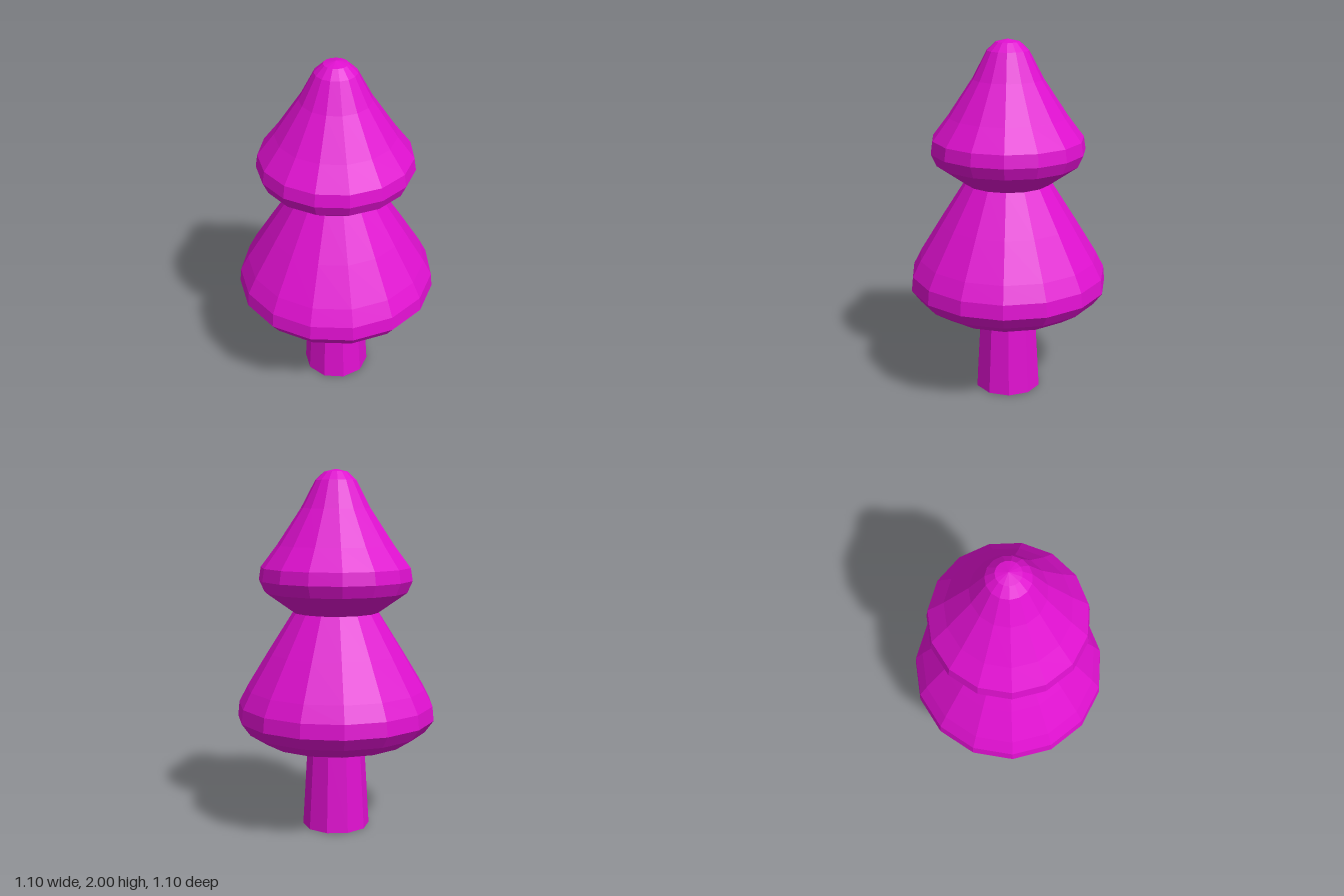
import * as THREE from 'three';

const material = new THREE.MeshStandardMaterial({
  color: 0xe010d0, flatShading: true, side: THREE.DoubleSide,
});

// Faceted ring surface from a [radius, height] profile, with a corner at angle `turn` from +x
function turned(name, profile, sides, turn = 0) {
  const points = profile.map(([r, y]) => new THREE.Vector2(r, y));
  const mesh = new THREE.Mesh(new THREE.LatheGeometry(points, sides, Math.PI / 2 + turn), material);
  mesh.name = name;
  return mesh;
}

export function createModel() {
  const tree = new THREE.Group();
  tree.name = 'tree';

  // Tapered trunk, open at the foot, running up inside the foliage
  tree.add(turned('trunk', [[0.188, 0], [0.161, 0.46], [0.147, 0.7]], 10, 0.28));

  // Wide lower tier, open underneath around the trunk
  tree.add(turned('lowerFoliage', [
    [0.215, 0.457], [0.408, 0.5], [0.505, 0.563], [0.554, 0.63],
    [0.546, 0.71], [0.5, 0.8], [0.378, 1.0], [0.238, 1.222],
  ], 15));

  // Upper tier with a rounded tip
  tree.add(turned('upperFoliage', [
    [0.238, 1.222], [0.398, 1.335], [0.427, 1.4], [0.416, 1.47],
    [0.325, 1.59], [0.192, 1.79], [0.113, 1.94], [0.065, 1.985], [0, 2],
  ], 15));

  // Odd-sided tiers reach further on one side, so shift to centre
  tree.position.x = -0.006;
  const model = new THREE.Group();
  model.add(tree);
  return model;
}
